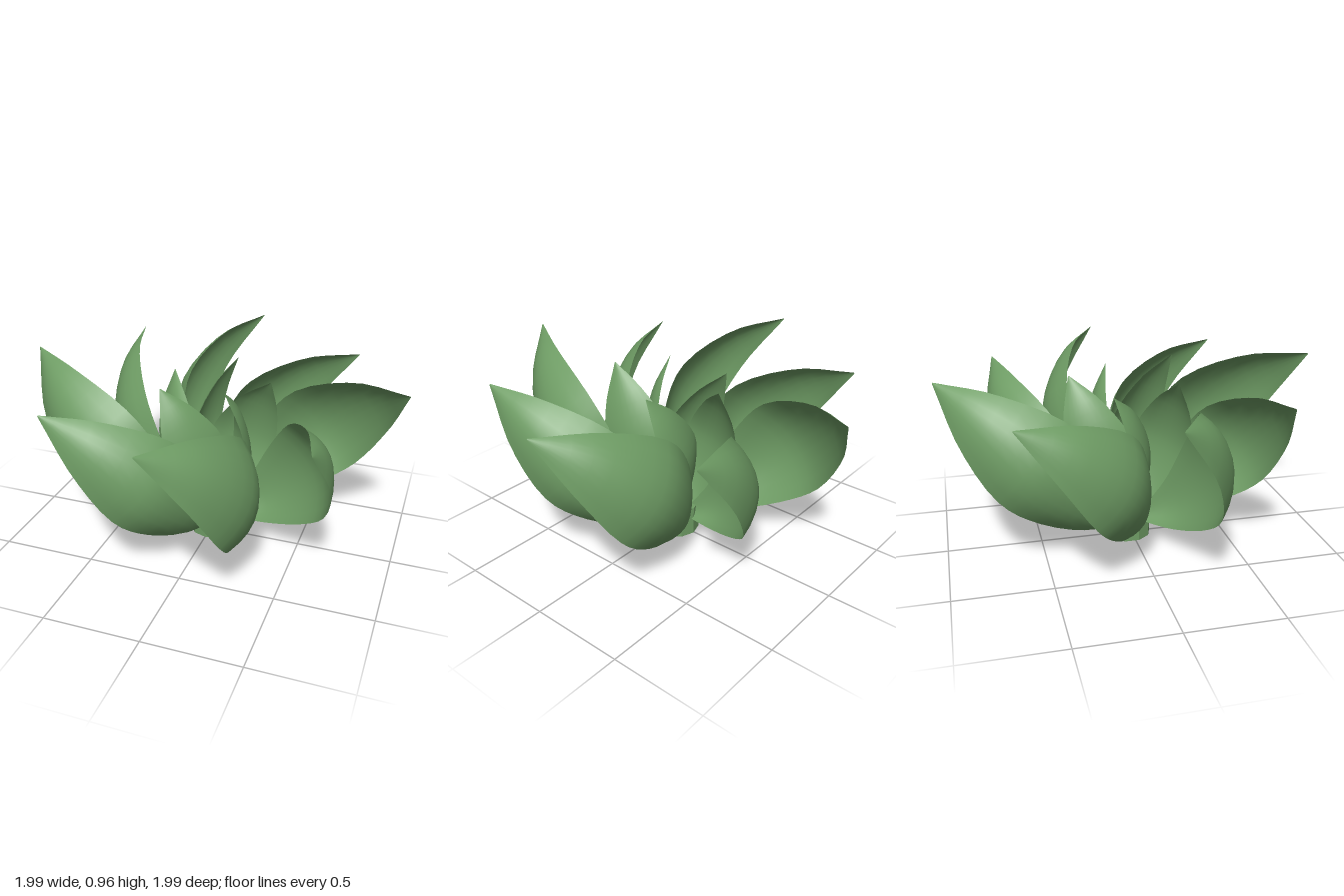
import * as THREE from 'three';

// Leaf guide lines: x = outward, y = up, z = sideways (the belly bulges to -z)
const line = (pts) => new THREE.CatmullRomCurve3(pts.map((p) => new THREE.Vector3(p[0], p[1], -p[2])));

const lowerEdge = line([
  [0.04, 0.0, 0.04], [0.25, 0.03, 0.17], [0.53, 0.15, 0.265],
  [0.72, 0.29, 0.285], [0.89, 0.56, 0.2], [1.0, 0.855, 0.005],
]);
const belly = line([
  [0.03, 0.01, 0.05], [0.18, 0.11, 0.23], [0.37, 0.3, 0.355],
  [0.55, 0.49, 0.385], [0.79, 0.71, 0.25], [0.998, 0.858, 0.006],
]);
const upperEdge = line([
  [0.02, 0.02, 0.05], [0.1, 0.24, 0.18], [0.2, 0.48, 0.25],
  [0.36, 0.68, 0.265], [0.7, 0.825, 0.165], [0.996, 0.86, 0.004],
]);

// Cupped leaf surface: a parabola across the three guide lines
function leafGeometry() {
  const geo = new THREE.PlaneGeometry(1, 1, 8, 18);
  const pos = geo.attributes.position;
  const uv = geo.attributes.uv;
  for (let i = 0; i < pos.count; i++) {
    const u = uv.getX(i);
    const t = uv.getY(i);
    const a = lowerEdge.getPoint(t);
    const m = belly.getPoint(t);
    const b = upperEdge.getPoint(t);
    const p = a.multiplyScalar((1 - u) * (1 - 2 * u))
      .addScaledVector(m, 4 * u * (1 - u))
      .addScaledVector(b, u * (2 * u - 1));
    pos.setXYZ(i, p.x, p.y, p.z);
  }
  geo.computeVertexNormals();
  return geo;
}

export function createModel() {
  const model = new THREE.Group();
  model.name = 'leafRosette';
  const green = new THREE.MeshStandardMaterial({ color: 0x6f9d65, side: THREE.DoubleSide });
  green.name = 'leafGreen';

  const plant = new THREE.Group();
  plant.name = 'plant';
  plant.position.set(0.005, 0, -0.02);
  model.add(plant);

  // Short faceted stem
  const stemGeo = new THREE.CylinderGeometry(0.125, 0.125, 0.16, 10).toNonIndexed();
  stemGeo.computeVertexNormals();
  const stem = new THREE.Mesh(stemGeo, green);
  stem.name = 'stem';
  stem.position.y = 0.08;
  plant.add(stem);

  const outerGeo = leafGeometry();
  // Inner leaves: narrower and tilted up
  const innerGeo = leafGeometry();
  innerGeo.scale(0.65, 0.65, 0.4);
  innerGeo.rotateZ(THREE.MathUtils.degToRad(29));
  innerGeo.computeVertexNormals();

  const addLeaf = (name, geo, degrees, size) => {
    const leaf = new THREE.Mesh(geo, green);
    leaf.name = name;
    leaf.rotation.y = -THREE.MathUtils.degToRad(degrees);
    leaf.scale.setScalar(size);
    leaf.position.y = 0.09;
    plant.add(leaf);
  };

  // Outer ring, starting at +x and turning towards +z
  [0.99, 0.94, 1.01, 0.92, 1.0, 0.93, 0.98, 0.915].forEach((size, i) => {
    addLeaf(`outerLeaf${i + 1}`, outerGeo, i * 45, size);
  });

  // Inner ring
  [1.0, 1.08, 1.01, 0.97, 1.02].forEach((size, i) => {
    addLeaf(`innerLeaf${i + 1}`, innerGeo, -10 + i * 72, size);
  });

  return model;
}
